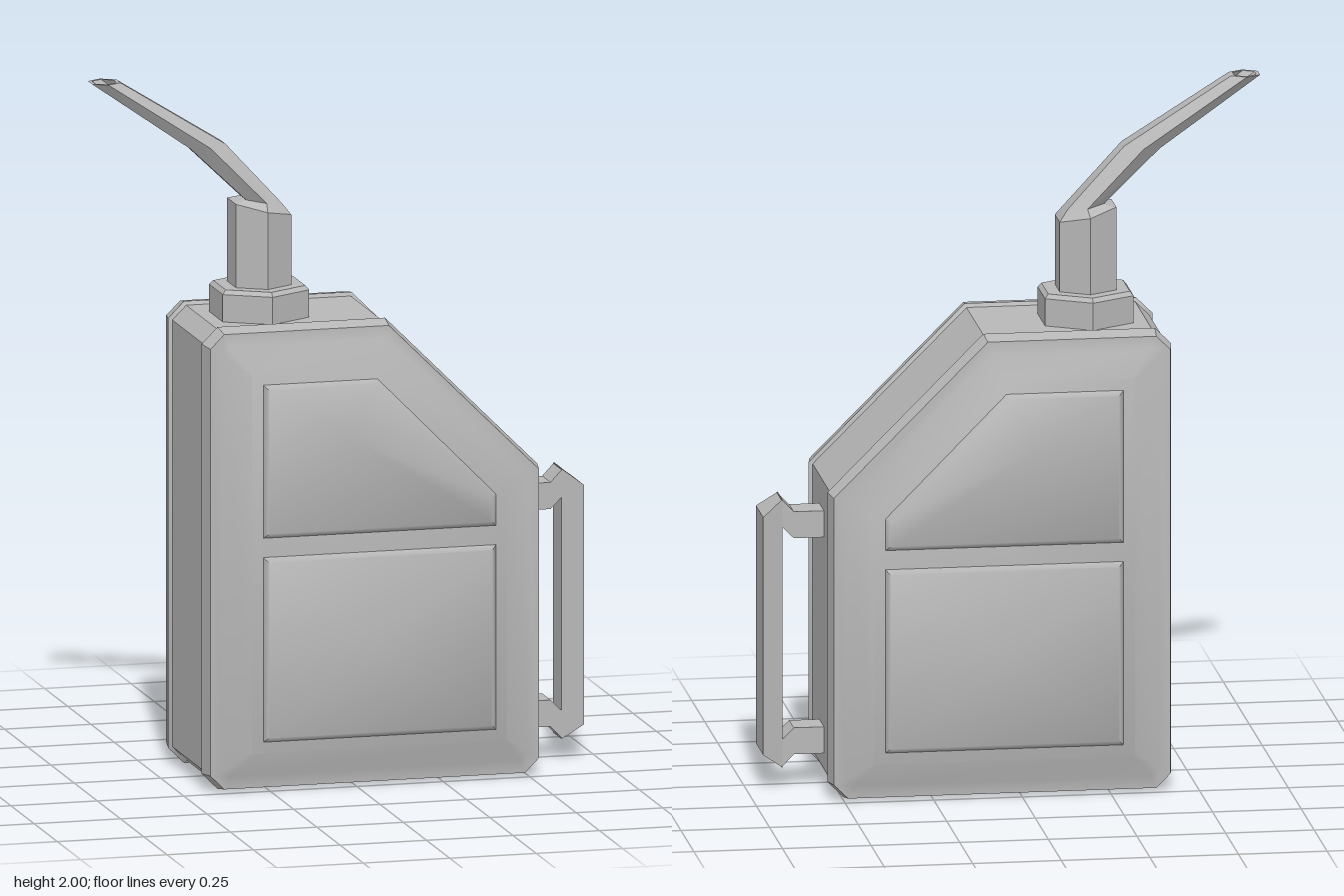
import * as THREE from 'three';
import { toCreasedNormals } from 'three/addons/utils/BufferGeometryUtils.js';

const metal = new THREE.MeshStandardMaterial({ color: 0xb8b8b8 });
metal.name = 'grey metal';

const V = (x, y, z) => new THREE.Vector3(x, y, z);

// Skin a list of equal-length rings and close both ends with fans.
function loft(rings, crease, { tip = null, capStart = true } = {}) {
  const pos = [];
  const tri = (...pts) => pts.forEach((p) => pos.push(p.x, p.y, p.z));
  const centre = (r) => r.reduce((s, p) => s.add(p), V(0, 0, 0)).divideScalar(r.length);
  const n = rings[0].length;
  for (let i = 0; i < rings.length - 1; i++) {
    for (let k = 0; k < n; k++) {
      const j = (k + 1) % n, a = rings[i], b = rings[i + 1];
      tri(a[k], a[j], b[j]);
      tri(a[k], b[j], b[k]);
    }
  }
  const first = rings[0], last = rings[rings.length - 1];
  const c0 = centre(first), c1 = tip || centre(last);
  for (let k = 0; k < n; k++) {
    const j = (k + 1) % n;
    if (capStart) tri(c0, first[j], first[k]);
    tri(c1, last[k], last[j]);
  }
  const g = new THREE.BufferGeometry();
  g.setAttribute('position', new THREE.Float32BufferAttribute(pos, 3));
  return toCreasedNormals(g, crease);
}

// Can outline with one slanted shoulder, moved inwards by d.
function canRing(d, z) {
  const c = Math.max(0.046 - 0.586 * d, 0.002);
  const l = -0.43 + d, r = 0.54 - d, b = 0.004 + d, t = 1.322 - d;
  return [
    [l, b + c], [l + c, b], [r - c, b], [r, b + c],
    [r, 0.882 - 0.414 * d], [0.1 - 0.414 * d, t], [l + c, t], [l, t - c],
  ].map(([x, y]) => V(x, y, z));
}

// Six-sided ring spanning from left point to right point, half width w in z.
function hexRing([lx, ly], [rx, ry], w) {
  return Array.from({ length: 6 }, (_, k) => {
    const a = (k * Math.PI) / 3, s = Math.sin(a) / Math.sin(Math.PI / 3);
    return V((lx + rx) / 2 + ((rx - lx) / 2) * s, (ly + ry) / 2 + ((ry - ly) / 2) * s, w * Math.cos(a));
  });
}

// Inset a convex counter-clockwise outline by d.
function inset(pts, d) {
  const n = pts.length;
  return pts.map((p, i) => {
    const a = pts[(i + n - 1) % n], b = pts[(i + 1) % n];
    const u = new THREE.Vector2(p[0] - a[0], p[1] - a[1]).normalize();
    const v = new THREE.Vector2(b[0] - p[0], b[1] - p[1]).normalize();
    const k = d / (1 + u.dot(v));
    return [p[0] - (u.y + v.y) * k, p[1] + (u.x + v.x) * k];
  });
}

export function createModel() {
  const model = new THREE.Group();
  model.name = 'jerryCan';
  const add = (name, geometry, parent = model) => {
    const mesh = new THREE.Mesh(geometry, metal);
    mesh.name = name;
    parent.add(mesh);
    return mesh;
  };

  // Can body with a raised rim near each face
  const half = [[0.01, 0.172], [0, 0.18], [0.01, 0.238], [0.045, 0.24], [0.117, 0.286]];
  const layers = [...half.map(([d, z]) => [d, -z]).reverse(), ...half];
  add('body', loft(layers.map(([d, z]) => canRing(d, z)), 0.65));

  // Pressed panels on both faces, rising slightly to a point
  const panels = [
    { name: 'lowerPanel', tip: [0.055, 0.415], pts: [[-0.28, 0.153], [0.392, 0.153], [0.392, 0.68], [-0.28, 0.68]] },
    {
      name: 'upperPanel', tip: [-0.03, 1.01],
      pts: [[-0.28, 0.735], [0.392, 0.735], [0.392, 0.825], [0.05, 1.172], [-0.28, 1.172]],
    },
  ];
  for (const { name, tip, pts } of panels) {
    for (const side of [1, -1]) {
      const rings = [[0, 0.28], [0, 0.286], [0.013, 0.299]].map(([d, z]) => {
        const ring = inset(pts, d).map(([x, y]) => V(x, y, side * z));
        return side > 0 ? ring : ring.reverse();
      });
      const peak = V(tip[0], tip[1], side * 0.303);
      add(name + (side > 0 ? 'Front' : 'Back'), loft(rings, 0.9, { tip: peak, capStart: false }));
    }
  }

  // Hexagonal collar
  const collar = [[1.31, 0.125, 0.145], [1.39, 0.125, 0.145], [1.402, 0.115, 0.133]];
  add('collar', loft(collar.map(([y, hx, w]) => hexRing([-0.215 - hx, y], [-0.215 + hx, y], w)), 0.3));

  // Bent, tapering spout with a hollow tip
  add('spout', loft([
    hexRing([-0.295, 1.395], [-0.135, 1.395], 0.094),
    hexRing([-0.295, 1.64], [-0.135, 1.602], 0.094),
    hexRing([-0.262, 1.648], [-0.16, 1.635], 0.066),
    hexRing([-0.42, 1.8], [-0.32, 1.81], 0.057),
    hexRing([-0.704, 2], [-0.622, 2], 0.046),
    hexRing([-0.694, 2], [-0.632, 2], 0.035),
    hexRing([-0.61, 1.94], [-0.56, 1.94], 0.032),
  ], 0.3));

  // Handle: flared grip on two bent struts
  const handle = new THREE.Group();
  handle.name = 'handle';
  model.add(handle);
  const gripRing = (x, b, t, w) => [V(x, b, w), V(x, b, -w), V(x, t, -w), V(x, t, w)];
  add('grip', loft([gripRing(0.647, 0.062, 0.833, 0.045), gripRing(0.705, 0.106, 0.789, 0.071)], 0.3), handle);
  const strut = [[0.52, 0.72], [0.615, 0.72], [0.65, 0.755], [0.65, 0.833], [0.615, 0.796], [0.52, 0.796]];
  for (const upper of [true, false]) {
    const pts = strut.map(([x, y]) => new THREE.Vector2(x, upper ? y : 0.895 - y));
    const g = new THREE.ExtrudeGeometry(new THREE.Shape(pts), { depth: 0.09, bevelEnabled: false });
    add(upper ? 'upperStrut' : 'lowerStrut', g.translate(0, 0, -0.045), handle);
  }
  return model;
}
